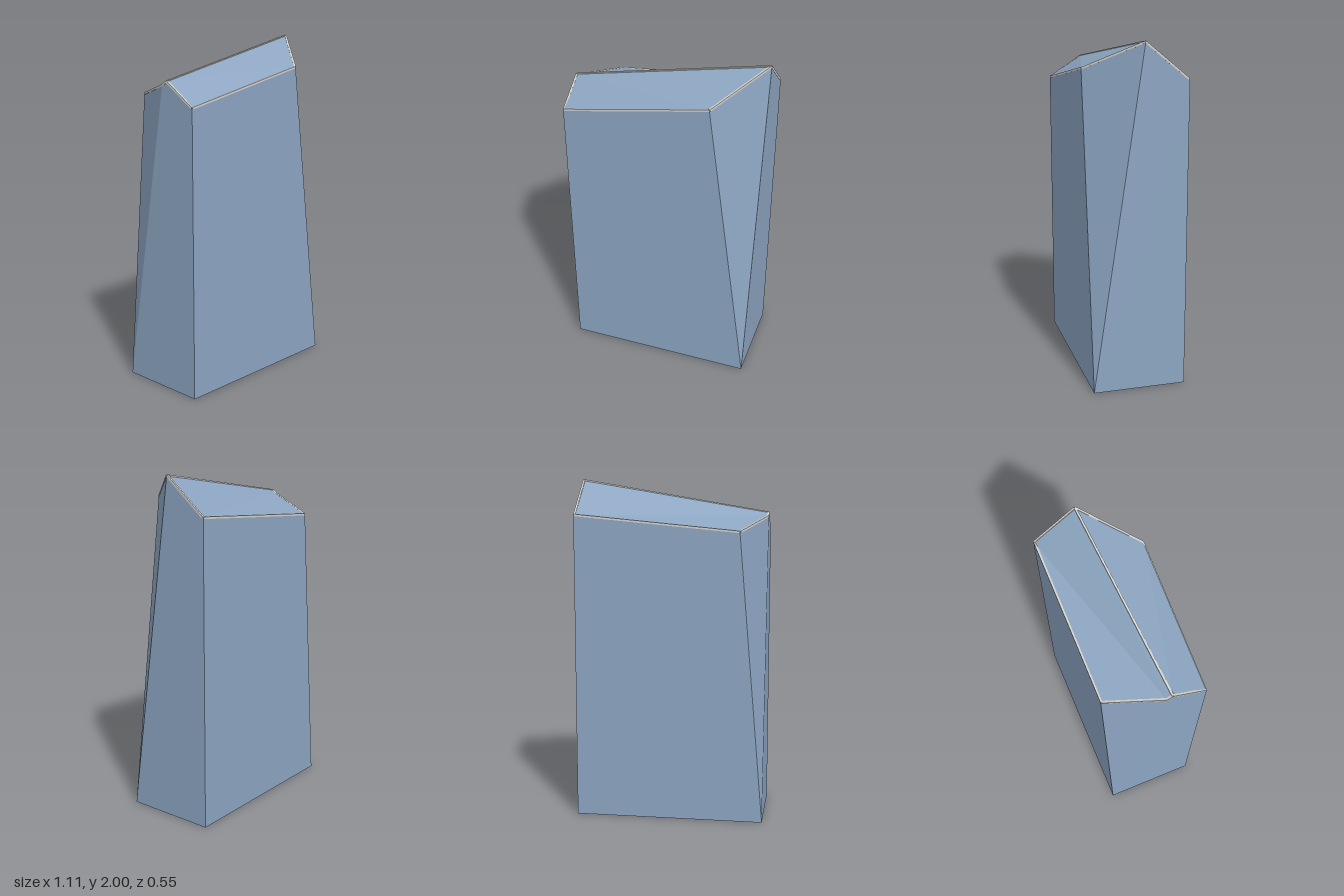
import * as THREE from 'three';

export function createModel() {
  const model = new THREE.Group();
  const glass = new THREE.MeshStandardMaterial({ color: 0x8ca5c1 });
  glass.name = 'blue glass';
  glass.flatShading = true;
  const trim = new THREE.MeshStandardMaterial({ color: 0xd2d0ca });
  trim.name = 'pale trim';

  // Corners of the footprint and of the folded roof
  const X = 0.555, Z = 0.272;
  const P = {
    frontLeft: [X, 0, Z], frontRight: [-X, 0, Z],
    backLeft: [X, 0, -Z], backRight: [-X, 0, -Z],
    A: [-X, 1.68, Z], B: [0.3, 1.838, Z],
    C: [X, 1.997, -0.02], D: [X, 1.793, -Z],
    E: [-0.41, 1.7, -Z], F: [-X, 1.785, 0.04], G: [-X, 1.807, 0.072],
  };

  // Each face is a counter-clockwise polygon, filled as a fan
  function addFaces(name, faces) {
    const positions = [];
    for (const face of faces) {
      for (let i = 1; i < face.length - 1; i++) {
        for (const key of [face[0], face[i], face[i + 1]]) positions.push(...P[key]);
      }
    }
    const geometry = new THREE.BufferGeometry();
    geometry.setAttribute('position', new THREE.Float32BufferAttribute(positions, 3));
    geometry.computeVertexNormals();
    const mesh = new THREE.Mesh(geometry, glass);
    mesh.name = name;
    model.add(mesh);
  }

  addFaces('towerWalls', [
    ['frontRight', 'frontLeft', 'B', 'A'],
    ['frontLeft', 'C', 'B'],
    ['frontLeft', 'backLeft', 'D', 'C'],
    ['backLeft', 'backRight', 'E', 'D'],
    ['backRight', 'F', 'E'],
    ['backRight', 'frontRight', 'A', 'G', 'F'],
  ]);
  addFaces('foldedRoof', [
    ['A', 'B', 'G'], ['B', 'C', 'G'],
    ['C', 'D', 'F'], ['C', 'F', 'G'], ['D', 'E', 'F'],
  ]);
  addFaces('base', [['frontRight', 'backRight', 'backLeft', 'frontLeft']]);

  // Slim trim bars along the roof edges and the ridge
  const roofTrim = new THREE.Group();
  roofTrim.name = 'roofTrim';
  const size = 0.012;
  for (const [from, to] of ['AB', 'BC', 'CD', 'DE', 'EF', 'FG', 'GA', 'GC']) {
    const [a, b] = [from, to].map((key) => {
      const [x, y, z] = P[key];
      // Keep the bars flush with the walls
      return new THREE.Vector3(
        THREE.MathUtils.clamp(x, -X + 0.005, X - 0.005), y - 0.003,
        THREE.MathUtils.clamp(z, -Z + 0.005, Z - 0.005));
    });
    const bar = new THREE.Mesh(new THREE.BoxGeometry(size, size, a.distanceTo(b)), trim);
    bar.position.copy(a).lerp(b, 0.5);
    bar.lookAt(b);
    bar.name = 'trimBar';
    roofTrim.add(bar);
  }
  model.add(roofTrim);
  return model;
}
